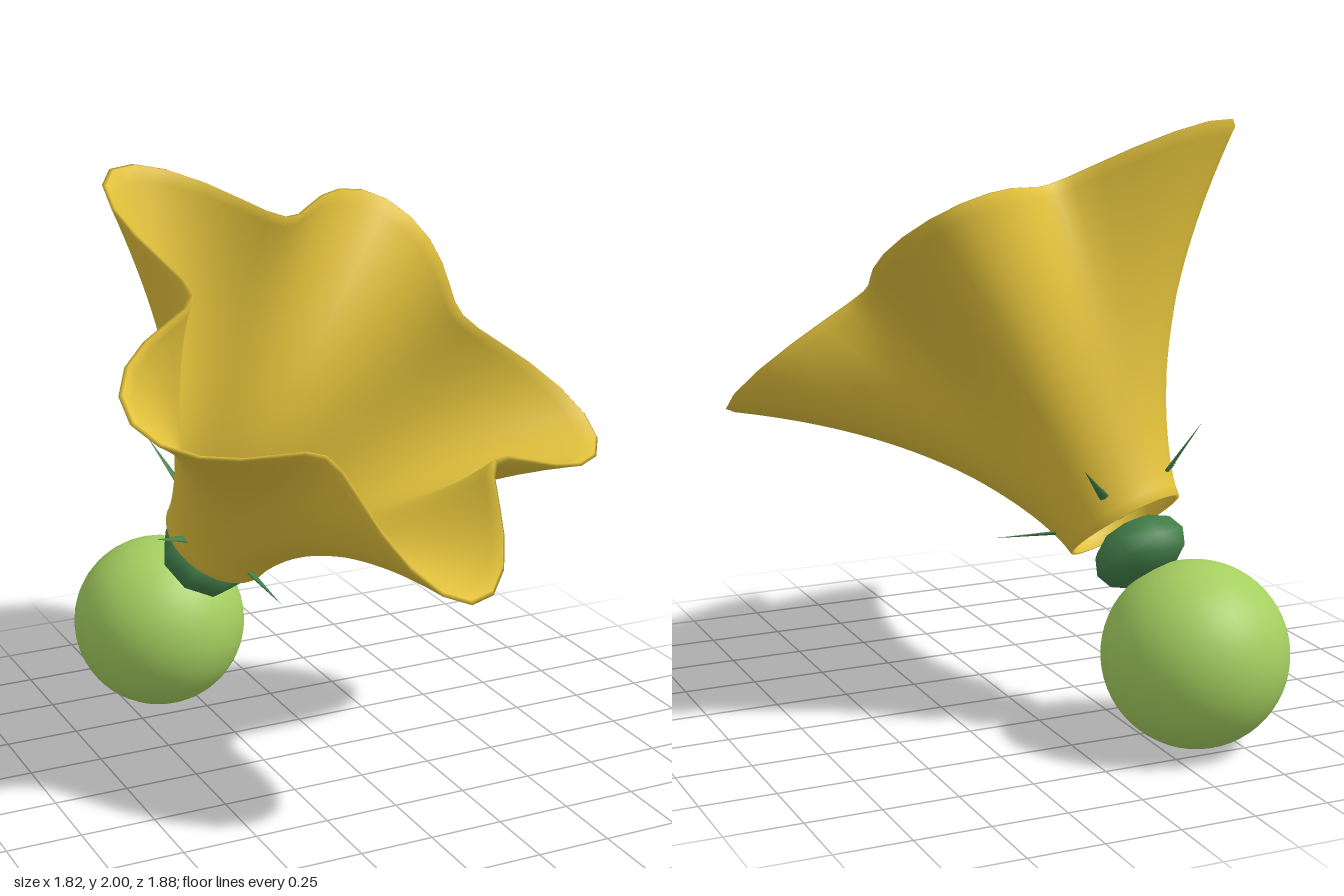
import * as THREE from 'three';

const petalYellow = new THREE.MeshStandardMaterial({ color: 0xe4c33c });
petalYellow.name = 'petalYellow';
petalYellow.side = THREE.DoubleSide;
const fruitGreen = new THREE.MeshStandardMaterial({ color: 0xa5cf60 });
fruitGreen.name = 'fruitGreen';
const leafGreen = new THREE.MeshStandardMaterial({ color: 0x437f4a });
leafGreen.name = 'calyxGreen';

// Five-lobed trumpet: a thin shell that runs up the outside and back down the inside
function trumpetGeometry() {
  const around = 60, rows = 28, wall = 0.014;
  const positions = [], indices = [];
  const addRow = (t, inset) => {
    for (let i = 0; i < around; i++) {
      const angle = (i / around) * Math.PI * 2;
      const lobe = Math.cos(5 * angle);
      const r = 0.2 + 0.59 * t ** 1.4 + 0.2 * t ** 3 * lobe - inset;
      const y = 0.955 * t - 0.03 * t * t * lobe + inset * 0.5 * t;
      positions.push(r * Math.sin(angle), y, r * Math.cos(angle));
    }
  };
  for (let j = 0; j <= rows; j++) addRow(j / rows, 0);
  for (let j = rows; j >= 0; j--) addRow(j / rows, wall);

  const total = 2 * (rows + 1);
  for (let j = 0; j < total; j++) {
    const next = (j + 1) % total;
    for (let i = 0; i < around; i++) {
      const k = (i + 1) % around;
      const a = j * around + i, b = j * around + k;
      const c = next * around + k, d = next * around + i;
      indices.push(a, b, c, a, c, d);
    }
  }
  const geometry = new THREE.BufferGeometry();
  geometry.setAttribute('position', new THREE.Float32BufferAttribute(positions, 3));
  geometry.setIndex(indices);
  geometry.computeVertexNormals();
  return geometry;
}

export function createModel() {
  const model = new THREE.Group();
  model.name = 'flower';

  // Blossom frame: local y is the flower's axis, local z points to the front lobe
  const blossom = new THREE.Group();
  blossom.name = 'blossom';
  const axis = new THREE.Vector3(0.264, 0.796, 0.544).normalize();
  const front = new THREE.Vector3(0.03, -0.566, 0.828);
  front.addScaledVector(axis, -front.dot(axis)).normalize();
  const side = new THREE.Vector3().crossVectors(axis, front);
  blossom.quaternion.setFromRotationMatrix(new THREE.Matrix4().makeBasis(side, axis, front));
  blossom.position.set(-0.245, 0.69, -0.385);
  model.add(blossom);

  // Adds a part centred on the flower's axis
  const addPart = (name, geometry, material, y) => {
    const mesh = new THREE.Mesh(geometry, material);
    mesh.name = name;
    mesh.position.y = y;
    blossom.add(mesh);
  };
  addPart('petalTrumpet', trumpetGeometry(), petalYellow, 0);
  addPart('pistil', new THREE.CapsuleGeometry(0.05, 0.28, 8, 16), petalYellow, 0.215);
  addPart('calyx', new THREE.SphereGeometry(0.165, 8, 6).scale(1, 0.64, 1), leafGreen, -0.1);
  addPart('fruit', new THREE.SphereGeometry(0.305, 40, 28), fruitGreen, -0.475);

  // Five slim pointed sepals, one under each lobe
  const sepalGeometry = new THREE.ConeGeometry(0.016, 0.2, 8).rotateX(Math.PI / 2).scale(1, 0.35, 1);
  for (let i = 0; i < 5; i++) {
    const arm = new THREE.Group();
    arm.name = 'sepalArm';
    arm.rotation.y = (i * Math.PI * 2) / 5;
    const sepal = new THREE.Mesh(sepalGeometry, leafGreen);
    sepal.name = 'sepal';
    sepal.position.set(0, 0.115, 0.311);
    sepal.rotation.x = -0.375;
    arm.add(sepal);
    blossom.add(arm);
  }
  return model;
}
